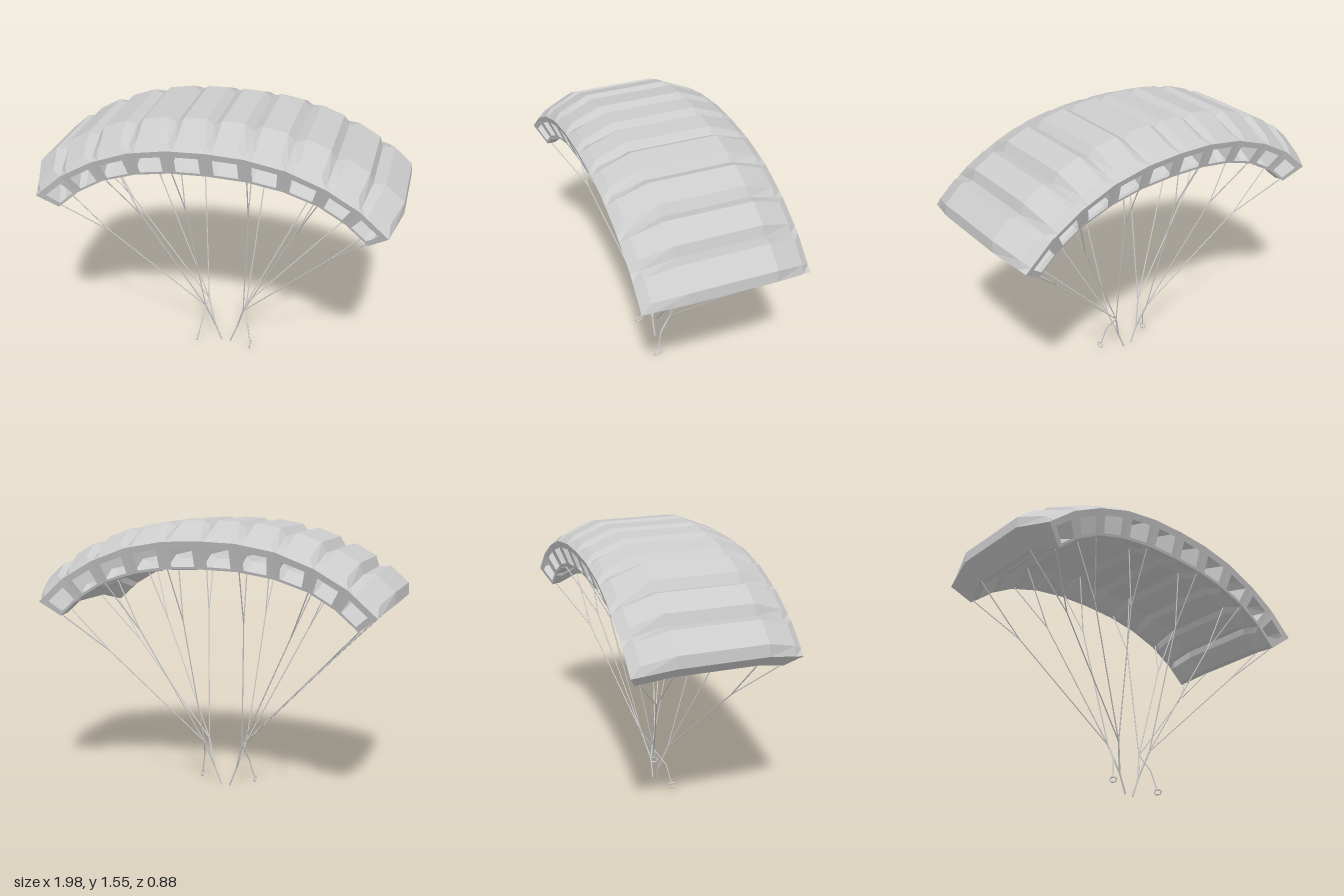
import * as THREE from 'three';

const material = new THREE.MeshStandardMaterial({ color: 0xcccccc, flatShading: true, side: THREE.DoubleSide });

// Rib seams from the centre to the left tip, at the open rims: [x, y]
const UPPER = [[0, 1.45], [0.2, 1.442], [0.41, 1.405], [0.61, 1.33], [0.785, 1.23], [0.937, 1.097]];
const LOWER = [[0, 1.3], [0.2, 1.293], [0.39, 1.263], [0.57, 1.205], [0.715, 1.12], [0.835, 1.015]];

// Sections along z: top z, bottom z, outward rise, top bulge, bottom bulge
const HALF = [
  { zt: 0.23, zb: 0.23, rise: 0.068, top: 1, bottom: 1 },
  { zt: 0.39, zb: 0.345, rise: 0.015, top: 0.6, bottom: 1 },
  { zt: 0.438, zb: 0.385, rise: 0, top: 0, bottom: 0 },
];
const SECTIONS = [
  ...HALF.map((s) => ({ ...s, zt: -s.zt, zb: -s.zb })).reverse(),
  ...HALF,
];

const V = (x, y, z) => new THREE.Vector3(x, y, z);

// Upper and lower seam point of rib i at a section
function seam(i, s) {
  const dx = UPPER[i][0] - LOWER[i][0], dy = UPPER[i][1] - LOWER[i][1];
  const k = s.rise / Math.hypot(dx, dy);
  return {
    up: V(UPPER[i][0] + dx * k, UPPER[i][1] + dy * k, s.zt),
    low: V(LOWER[i][0] + dx * k, LOWER[i][1] + dy * k, s.zb),
  };
}

// Chain from seam a to seam b with two raised corners between
function bulge(a, b, height, t) {
  const d = b.clone().sub(a);
  const n = V(-d.y, d.x, 0).normalize().multiplyScalar(height);
  return [a, a.clone().lerp(b, t).add(n), a.clone().lerp(b, 1 - t).add(n), b];
}

function quadMesh(name, quads, side) {
  const pos = [];
  for (const q of quads) {
    const [a, b, c, d] = side > 0 ? q : [q[3], q[2], q[1], q[0]];
    for (const p of [a, b, c, a, c, d]) pos.push(p.x * side, p.y, p.z);
  }
  const g = new THREE.BufferGeometry();
  g.setAttribute('position', new THREE.Float32BufferAttribute(pos, 3));
  g.computeVertexNormals();
  const mesh = new THREE.Mesh(g, material);
  mesh.name = name;
  return mesh;
}

// Quads joining successive chains of points
function loft(chains) {
  const quads = [];
  for (let j = 0; j + 1 < chains.length; j++) {
    for (let k = 0; k + 1 < chains[j].length; k++) {
      quads.push([chains[j][k], chains[j + 1][k], chains[j + 1][k + 1], chains[j][k + 1]]);
    }
  }
  return quads;
}

// Frame around the opening at one end of a cell
function openingFrame(i, s) {
  const a = seam(i, s), b = seam(i + 1, s);
  const at = (u, v) => a.low.clone().lerp(b.low, u).lerp(a.up.clone().lerp(b.up, u), v);
  const outer = [at(0, 0), at(1, 0), at(1, 1), at(0, 1)];
  const inner = [at(0.18, 0.1), at(0.82, 0.1), at(0.82, 0.75), at(0.18, 0.75)];
  return outer.map((p, k) => {
    const m = (k + 1) % 4;
    const q = [p, outer[m], inner[m], inner[k]];
    return s.zt > 0 ? q : q.reverse();
  });
}

function cell(i, side) {
  const group = new THREE.Group();
  group.name = 'canopyCell';
  const pairs = SECTIONS.map((s) => [seam(i, s), seam(i + 1, s), s]);
  const top = pairs.map(([a, b, s]) => bulge(a.up, b.up, (0.03 + 0.004 * i) * s.top, 0.2));
  const bottom = pairs.map(([a, b, s]) => bulge(b.low, a.low, 0.02 * s.bottom, 0.18));
  group.add(quadMesh('topPanel', loft(top), side));
  group.add(quadMesh('bottomPanel', loft(bottom), side));
  group.add(quadMesh('outerRib', loft(pairs.map(([, b]) => [b.up, b.low])), side));
  for (const s of [SECTIONS[0], SECTIONS[SECTIONS.length - 1]]) {
    group.add(quadMesh('openingFrame', openingFrame(i, s), side));
  }
  return group;
}

// Thin straight cord between two points
function cord(name, a, b, radius = 0.0035) {
  const d = b.clone().sub(a);
  const mesh = new THREE.Mesh(new THREE.CylinderGeometry(radius, radius, d.length(), 5), material);
  mesh.position.copy(a).add(b).multiplyScalar(0.5);
  mesh.quaternion.setFromUnitVectors(V(0, 1, 0), d.normalize());
  mesh.name = name;
  return mesh;
}

function rigging(side) {
  const group = new THREE.Group();
  group.name = side > 0 ? 'leftRigging' : 'rightRigging';
  const P = (x, y, z) => V(x * side, y, z);
  const foot = P(0.025, 0, 0), joint = P(0.068, 0.11, 0);
  group.add(cord('riser', foot, joint, 0.005));

  for (const end of [1, -1]) {
    const knot = P(0.115, 0.265, 0.042 * end);
    group.add(cord('riserBranch', joint, knot, 0.005));
    // Forked suspension lines to every other rib
    for (const i of [1, 3, 5]) {
      const rim = P(LOWER[i][0], LOWER[i][1], 0.36 * end);
      const mid = seam(i, HALF[0]).low;
      const fork = knot.clone().lerp(rim, 0.71);
      fork.z = 0.205 * end;
      group.add(cord('suspensionLine', knot, fork));
      group.add(cord('rimLine', fork, rim));
      group.add(cord('innerLine', fork, P(mid.x, mid.y, 0.215 * end)));
    }
  }

  // Brake line with its hand loop
  const bend = P(0.137, 0.165, 0.025), grip = P(0.16, 0.056, 0.05);
  group.add(cord('brakeLine', P(0.115, 0.265, -0.042), bend));
  group.add(cord('brakeLine', bend, grip));
  const corners = [[0.035, 0.055], [0.07, 0.05], [0.08, 0.04], [0.072, 0.022], [0.04, 0.027], [0.031, 0.037]];
  const loop = corners.map(([z, y]) => P(0.163, y, z));
  loop.forEach((p, k) => group.add(cord('brakeHandle', p, loop[(k + 1) % loop.length], 0.004)));
  return group;
}

export function createModel() {
  const model = new THREE.Group();
  model.name = 'parafoil';
  const canopy = new THREE.Group();
  canopy.name = 'canopy';
  for (const side of [1, -1]) {
    for (let i = 0; i < 5; i++) canopy.add(cell(i, side));
    model.add(rigging(side));
  }
  // Rib on the centre line
  const centre = SECTIONS.map((s) => seam(0, s));
  canopy.add(quadMesh('centreRib', loft(centre.map((p) => [p.up, p.low])), 1));
  model.add(canopy);
  return model;
}
